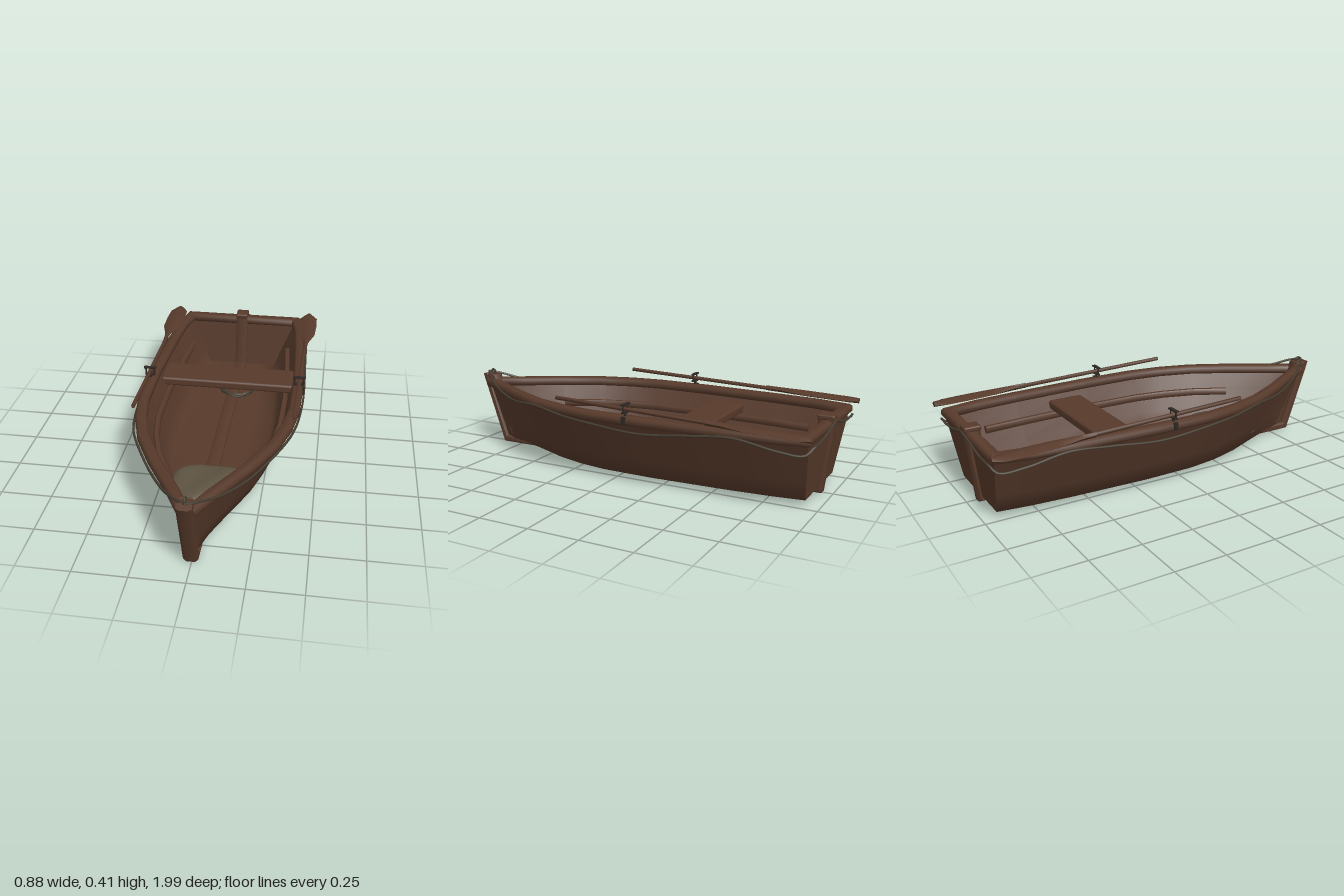
import * as THREE from 'three';
import { toCreasedNormals } from 'three/addons/utils/BufferGeometryUtils.js';
import { RoundedBoxGeometry } from 'three/addons/geometries/RoundedBoxGeometry.js';

const V = (x, y, z) => new THREE.Vector3(x, y, z);
const OCTAGON = [[1, -0.5], [1, 0.5], [0.6, 1], [-0.6, 1], [-1, 0.5], [-1, -0.5], [-0.6, -1], [0.6, -1]];
const DIAMOND = [[1, 0], [0.25, 1], [-0.25, 1], [-1, 0], [-0.25, -1], [0.25, -1]];

// hull stations: z at the rim, z at the floor, outer rim half width, floor half width
const STATIONS = [
  [-0.97, -0.935, 0.335, 0.22], [-0.8, -0.78, 0.365, 0.24], [-0.6, -0.58, 0.38, 0.255],
  [-0.2, -0.2, 0.398, 0.27], [0.08, 0.06, 0.395, 0.265], [0.25, 0.22, 0.37, 0.24],
  [0.42, 0.37, 0.32, 0.195], [0.6, 0.53, 0.23, 0.125], [0.8, 0.71, 0.11, 0.05], [0.945, 0.85, 0.02, 0.01],
];
const RIM = 0.335, FLOOR = 0.03;

function buildGeometry(positions, index) {
  const g = new THREE.BufferGeometry();
  g.setAttribute('position', new THREE.Float32BufferAttribute(positions, 3));
  g.setIndex(index);
  return g;
}

// sweep a section along points; width may vary by point; side fixes the width axis
function sweep(points, width, height, side = null, section = OCTAGON) {
  const pos = [], idx = [], n = section.length, last = points.length - 1;
  points.forEach((p, i) => {
    const into = points[Math.max(i, 1)].clone().sub(points[Math.max(i, 1) - 1]).normalize();
    const out = points[Math.min(i + 1, last)].clone().sub(points[Math.min(i, last - 1)]).normalize();
    const t = into.clone().add(out).normalize();
    const s = side ? side.clone() : t.clone().cross(V(0, 1, 0)).normalize();
    const up = s.clone().cross(t);
    const mitre = 1 / Math.max(0.5, t.dot(out));
    const w = (typeof width === 'function' ? width(i) : width) / 2 * (side ? 1 : mitre);
    const h = height / 2 * (side ? mitre : 1);
    for (const [a, b] of section) pos.push(...p.clone().addScaledVector(s, a * w).addScaledVector(up, b * h).toArray());
  });
  for (let i = 0; i < last; i++) for (let j = 0; j < n; j++) {
    const a = i * n + j, b = i * n + (j + 1) % n;
    idx.push(a, a + n, b, b, a + n, b + n);
  }
  for (let j = 1; j < n - 1; j++) idx.push(0, j, j + 1, last * n, last * n + j + 1, last * n + j);
  return toCreasedNormals(buildGeometry(pos, idx), 0.9);
}

// hull skin, with its transom as a separate flat face
function hullSkin(inset, inner) {
  const pos = [], idx = [], rows = [1, 0.65, 0.3, 0];
  const floor = FLOOR + inset;
  const addTri = (a, b, c) => (inner ? idx.push(a, b, c) : idx.push(a, c, b));
  const ring = ([zt, zb, t, b]) => {
    const z0 = Math.max(-0.97 + inset, zt), z1 = Math.max(-0.935 + inset, zb);
    const halfT = Math.max(0.006, t - inset), halfB = Math.max(0.004, b - inset);
    const half = rows.map(k => [THREE.MathUtils.lerp(halfB, halfT, k),
      THREE.MathUtils.lerp(floor, RIM, k), THREE.MathUtils.lerp(z1, z0, k)]);
    half.push([halfB * 0.6, floor, z1]);
    const mirrored = half.map(([x, y, z]) => [-x, y, z]).reverse();
    return [...half, [0, floor, z1], ...mirrored];
  };
  const rings = STATIONS.map(ring), n = rings[0].length;
  rings.forEach(r => pos.push(...r.flat()));
  for (let i = 0; i < rings.length - 1; i++) for (let j = 0; j < n - 1; j++) {
    const a = i * n + j;
    addTri(a, a + 1, a + n);
    addTri(a + 1, a + n + 1, a + n);
  }
  const base = pos.length / 3;
  pos.push(...rings[0].flat());
  for (let j = 1; j < n - 1; j++) addTri(base, base + j + 1, base + j);
  const g = buildGeometry(pos, idx);
  g.computeVertexNormals();
  return g;
}

function tube(points, radius, segments, closed = false) {
  return new THREE.TubeGeometry(new THREE.CatmullRomCurve3(points, closed), segments, radius, 6, closed);
}

export function createModel() {
  const boat = new THREE.Group();
  boat.name = 'rowingBoat';
  const material = (name, color) => Object.assign(new THREE.MeshStandardMaterial({ color }), { name });
  const wood = material('brownWood', 0x573a2b);
  const ropeMat = material('rope', 0x453d30);
  const cloth = material('sackcloth', 0x5e5443);
  const iron = material('darkIron', 0x2e2823);
  const add = (name, geometry, mat, parent = boat) => {
    const m = new THREE.Mesh(geometry, mat);
    m.name = name;
    parent.add(m);
    return m;
  };

  // hull
  add('hullOutside', hullSkin(0, false), wood);
  add('hullInside', hullSkin(0.025, true), wood);

  // gunwale, running from the bow round the stern and back
  const rail = STATIONS.map(([z, , t]) => V(Math.max(0.012, t - 0.02), 0.33, z));
  rail[0].z = -0.955;
  const railMirror = rail.map(p => V(-p.x, p.y, p.z));
  add('gunwale', sweep([...rail.slice().reverse(), ...railMirror], 0.055, 0.045), wood);

  // keel with stem and stern post, outside and inside
  const X = V(1, 0, 0), kx = -0.005;
  add('keel', sweep([V(kx, 0.365, -0.973), V(kx, 0.02, -0.932), V(kx, 0.02, 0.85), V(kx, 0.38, 0.973)], 0.068, 0.04, X), wood);
  add('innerKeel', sweep([V(kx, 0.365, -0.935), V(kx, 0.06, -0.9), V(kx, 0.06, 0.8), V(kx, 0.37, 0.92)], 0.065, 0.035, X), wood);
  add('sternPostCap', new RoundedBoxGeometry(0.068, 0.025, 0.08, 2, 0.008), wood).position.set(kx, 0.363, -0.952);
  add('stemCap', new RoundedBoxGeometry(0.066, 0.03, 0.07, 2, 0.008), wood).position.set(kx, 0.362, 0.945);

  // thwart
  add('seat', new RoundedBoxGeometry(0.7, 0.045, 0.185, 2, 0.012), wood).position.set(-0.005, 0.265, -0.33);

  // oar: tilted shaft with a tapered blade
  const oarY = z => 0.388 + z * 0.03;
  const bladeZ = [-1, -0.95, -0.84, -0.71, -0.6, -0.52];
  const bladeW = [0.04, 0.095, 0.1, 0.09, 0.03, 0.018];

  for (const side of [1, -1]) {
    const label = side > 0 ? 'left' : 'right';

    const stringer = STATIONS.slice(1, 8).map(([zt, zb, t, b]) =>
      V(side * (b + (t - b) * 0.62 - 0.038), 0.22, (zt + zb) / 2));
    add(label + 'Stringer', sweep(stringer, 0.03, 0.035), wood);

    const oar = new THREE.Group();
    oar.name = label + 'Oar';
    boat.add(oar);
    add('shaft', sweep([V(side * 0.383, oarY(0.26), 0.26), V(side * 0.388, oarY(-0.6), -0.6)], 0.017, 0.017), wood, oar);
    add('blade', sweep(bladeZ.map(z => V(side * 0.39, oarY(z), z)), i => bladeW[i], 0.024, null, DIAMOND), wood, oar);

    // oarlock frame around the shaft
    const lock = new THREE.Group();
    lock.name = label + 'Oarlock';
    lock.position.set(side * 0.384, 0, -0.12);
    boat.add(lock);
    add('topBar', new THREE.BoxGeometry(0.062, 0.007, 0.018), iron, lock).position.y = 0.407;
    add('bottomBar', new THREE.BoxGeometry(0.05, 0.008, 0.018), iron, lock).position.y = 0.37;
    for (const x of [-0.022, 0.022])
      add('upright', new THREE.CylinderGeometry(0.004, 0.005, 0.036, 6), iron, lock).position.set(x, 0.388, 0);
    add('pin', new THREE.CylinderGeometry(0.007, 0.007, 0.04, 6), iron, lock).position.y = 0.352;
    add('sidePlate', new THREE.BoxGeometry(0.012, 0.035, 0.02), iron, lock).position.set(side * 0.022, 0.335, 0);

    // rope draped along the side and across the stern
    const drape = [
      [0, 0.388, 0.965], [0.045, 0.374, 0.925], [0.12, 0.335, 0.82], [0.208, 0.309, 0.67],
      [0.27, 0.314, 0.56], [0.348, 0.33, 0.4], [0.388, 0.31, 0.22], [0.407, 0.293, 0],
      [0.409, 0.282, -0.2], [0.4, 0.305, -0.45], [0.392, 0.32, -0.65], [0.377, 0.285, -0.85],
      [0.352, 0.275, -0.96], [0.32, 0.305, -0.988], [0.2, 0.3, -0.985], [0.1, 0.322, -0.988], [0, 0.35, -0.994],
    ].map(([x, y, z]) => V(side * x, y, z));
    add(label + 'SideRope', tube(drape, 0.006, 110), ropeMat);
  }

  // knot on the stem head
  const knot = add('ropeKnot', new THREE.TorusGeometry(0.012, 0.005, 6, 12), ropeMat);
  knot.position.set(kx, 0.388, 0.94);
  knot.rotation.y = Math.PI / 2;

  // coiled rope with a loose end, lying on the floor
  const coil = [];
  for (let i = 0; i <= 64; i++) {
    const a = i / 16 * Math.PI * 2 - 2.2, r = 1 + 0.09 * Math.sin(i * 0.83);
    coil.push(V(0.01 + Math.cos(a) * 0.105 * r, 0.083 + 0.008 * Math.sin(i * 1.3), -0.59 + Math.sin(a) * 0.125 * r));
  }
  coil.push(V(-0.08, 0.075, -0.71), V(-0.095, 0.07, -0.77), V(-0.12, 0.068, -0.8), V(-0.115, 0.068, -0.84));
  add('ropeCoil', tube(coil, 0.006, 300), ropeMat);

  // slumped sack in the bow, narrowing forward
  const sackGeo = new THREE.SphereGeometry(1, 32, 20);
  const p = sackGeo.attributes.position;
  const puff = (v, e) => Math.sign(v) * Math.abs(v) ** e;
  for (let i = 0; i < p.count; i++) {
    const x = puff(p.getX(i), 0.72), y = p.getY(i), z = puff(p.getZ(i), 0.72);
    const taper = 1 - 0.14 * (z + 1) * (z > -0.4 ? 1 : 0.9);
    const fold = 0.008 * Math.sin(x * 4 + z * 2.5);
    p.setXYZ(i, x * 0.2 * taper, y * (y > 0 ? 0.055 : 0.035) + (y > 0 ? fold * y : 0), z * 0.168 - 0.012 * x);
  }
  sackGeo.computeVertexNormals();
  add('sack', sackGeo, cloth).position.set(0, 0.09, 0.445);

  return boat;
}
